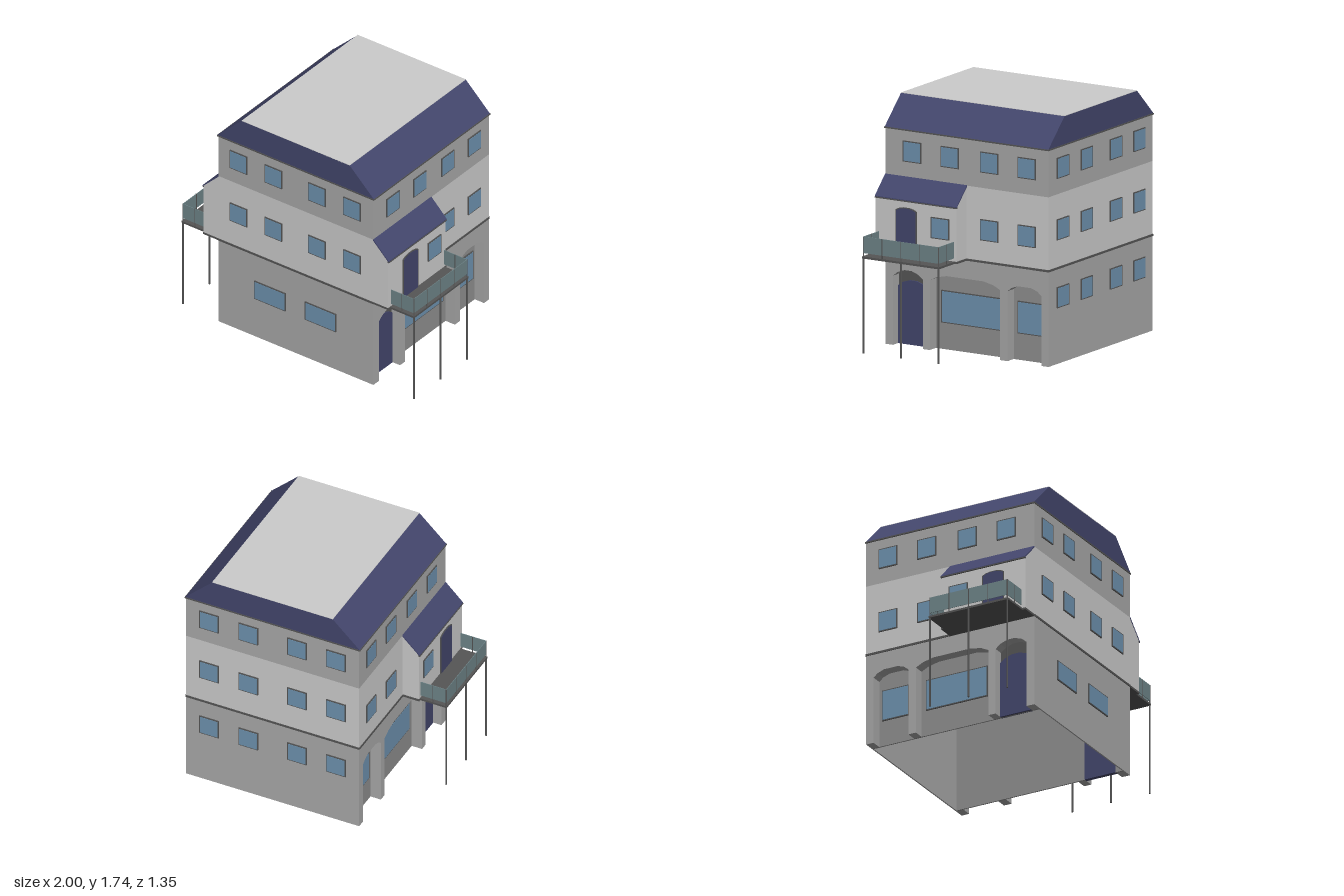
import * as THREE from 'three';

const mat = (color) => new THREE.MeshStandardMaterial({ color, flatShading: true });
const LIGHT = mat(0xcccccc), WALL = mat(0xa8a8a8), RECESS = mat(0x8f8f8f), DARK = mat(0x555555);
const NAVY = mat(0x43466c), PANE = mat(0x6e92af), GLASS = mat(0x6e8488);
const H = 0.667; // half width of the house

export function createModel() {
  const house = new THREE.Group();
  house.name = 'house';

  const add = (name, geometry, material) => {
    const mesh = new THREE.Mesh(geometry, material);
    mesh.name = name;
    house.add(mesh);
    return mesh;
  };
  // box given by its lower and upper limits
  const box = (name, material, x0, x1, y0, y1, z0, z1) => {
    const g = new THREE.BoxGeometry(Math.abs(x1 - x0), y1 - y0, z1 - z0);
    add(name, g, material).position.set((x0 + x1) / 2, (y0 + y1) / 2, (z0 + z1) / 2);
  };
  const polygon = (pts) => new THREE.Shape(pts.map(([a, b]) => new THREE.Vector2(a, b)));
  // profile in x,y pulled along z
  const prismZ = (name, material, pts, z0, z1) => {
    const g = new THREE.ExtrudeGeometry(polygon(pts), { depth: z1 - z0, bevelEnabled: false });
    add(name, g.translate(0, 0, z0), material);
  };
  // profile in z,y pulled along x, centred on x
  const prismX = (name, material, pts, x, depth) => {
    const g = new THREE.ExtrudeGeometry(polygon(pts), { depth, bevelEnabled: false });
    add(name, g.rotateY(-Math.PI / 2).translate(x + depth / 2, 0, 0), material);
  };
  // framed window: u is the horizontal centre, y the vertical centre
  const window = (axis, at, u, y, w, h) => {
    const f = 0.007, out = Math.sign(at) * 0.002;
    [['windowFrame', DARK, w, h, 0], ['windowPane', PANE, w - 2 * f, h - 2 * f, out]].forEach(([name, m, a, b, o]) => {
      if (axis === 'z') box(name, m, u - a / 2, u + a / 2, y - b / 2, y + b / 2, at + o - 0.008, at + o + 0.008);
      else box(name, m, at + o - 0.008, at + o + 0.008, y - b / 2, y + b / 2, u - a / 2, u + a / 2);
    });
  };
  // faceted arch outline from z0 to z1, standing on base
  const arch = (z0, z1, base, spring, top, flat) => {
    const w = z1 - z0, h = top - spring, k = flat * 0.4;
    return [[z0, base], [z0, spring], [z0 + w * k, spring + h * 0.6], [z0 + w * flat, top],
      [z1 - w * flat, top], [z1 - w * k, spring + h * 0.6], [z1, spring], [z1, base]];
  };

  // storeys
  for (const s of [-1, 1]) box('groundFloorWall', WALL, -H, H, 0, 0.675, s * H - (s > 0 ? 0.01 : 0), s * H + (s > 0 ? 0 : 0.01));
  box('middleFloor', LIGHT, -H, H, 0.675, 1.2, -H, H);
  box('topFloor', WALL, -H, H, 1.2, 1.535, -H, H);

  // trim bands around the house
  for (const s of [-1, 1]) {
    const a = s * H - 0.005, b = s * H + 0.005;
    box('floorBand', DARK, -H, H, 0.67, 0.685, a, b);
    box('floorBand', DARK, a, b, 0.67, 0.685, -H, H);
  }
  box('cornice', DARK, -0.675, 0.675, 1.528, 1.538, -0.672, 0.672);

  // main roof with a flat top
  prismZ('roof', NAVY, [[-0.672, 1.538], [0.672, 1.538], [0.465, 1.735], [-0.465, 1.735]], -0.669, 0.669);
  box('roofTop', LIGHT, -0.465, 0.465, 1.733, 1.738, -0.669, 0.669);

  // front and back windows
  for (const x of [-0.49, -0.19, 0.185, 0.487]) {
    for (const y of [1.385, 0.95]) for (const z of [-H, H]) window('z', z, x, y, 0.15, 0.148);
    window('z', -H, x, 0.47, 0.15, 0.148);
  }
  for (const x of [-0.22, 0.215]) window('z', H, x, 0.387, 0.267, 0.148);

  // both flanks
  for (const s of [-1, 1]) {
    const X = s * H;

    // arcade wall with a recessed wall behind it
    const arches = [arch(-0.608, -0.332, 0, 0.495, 0.54, 0.3), arch(-0.272, 0.304, 0, 0.495, 0.54, 0.24), arch(0.36, 0.604, 0, 0.49, 0.54, 0.38)];
    prismX('arcadeWall', WALL, [[-H, 0], ...arches.flat(), [H, 0], [H, 0.675], [-H, 0.675]], s * (H - 0.04), 0.08);
    box('recessedWall', RECESS, s * 0.577, s * 0.587, 0, 0.675, -0.657, 0.657);
    prismX('doorSurround', DARK, arch(0.36, 0.604, 0, 0.49, 0.54, 0.38), s * 0.589, 0.006);
    prismX('door', NAVY, arch(0.36, 0.604, 0, 0.41, 0.455, 0.38), s * 0.588, 0.03);
    window('x', s * 0.588, 0.011, 0.303, 0.49, 0.23);
    window('x', s * 0.588, -0.475, 0.303, 0.216, 0.23);

    // upper windows
    for (const z of [0.447, 0.138, -0.184, -0.491]) window('x', X, z, 1.383, 0.148, 0.148);
    for (const z of [-0.184, -0.491]) window('x', X, z, 0.904, 0.148, 0.15);

    // side bay with lean-to roof
    const E = s * 0.793;
    prismZ('sideBay', LIGHT, [[X, 0.675], [E, 0.675], [E, 1.075], [X, 1.198]], 0.005, H);
    prismZ('sideBayRoof', NAVY, [[X, 1.192], [s * 0.8, 1.063], [s * 0.8, 1.073], [X, 1.204]], 0, 0.669);
    box('sideBayEave', DARK, s * 0.788, s * 0.803, 1.06, 1.068, 0, 0.669);
    window('x', E, 0.138, 0.904, 0.148, 0.15);
    prismX('balconyDoorFrame', DARK, arch(0.328, 0.5, 0.685, 0.998, 1.018, 0.35), E, 0.014);
    prismX('balconyDoor', NAVY, arch(0.335, 0.493, 0.685, 0.993, 1.012, 0.35), E, 0.018);

    // balcony floor, legs, rail posts and glass
    box('sideBayFloor', DARK, X, s * 0.796, 0.67, 0.685, 0, 0.669);
    box('balconyFloor', DARK, s * 0.79, s, 0.67, 0.685, 0.017, 0.645);
    const post = (name, x, z, y0, y1, r) => {
      add(name, new THREE.CylinderGeometry(r, r, y1 - y0, 8), DARK).position.set(x, (y0 + y1) / 2, z);
    };
    for (const z of [0.024, 0.331, 0.638]) post('balconyLeg', s * 0.993, z, 0, 0.68, 0.007);
    for (const z of [0.024, 0.177, 0.331, 0.485, 0.638]) post('railPost', s * 0.993, z, 0.68, 0.825, 0.004);
    box('railGlass', GLASS, s * 0.991, s * 0.995, 0.708, 0.825, 0.024, 0.638);
    for (const z of [0.024, 0.638]) {
      post('railPost', s * 0.89, z, 0.68, 0.825, 0.004);
      box('railGlass', GLASS, s * 0.797, s * 0.993, 0.708, 0.825, z - 0.002, z + 0.002);
    }
  }
  return house;
}
